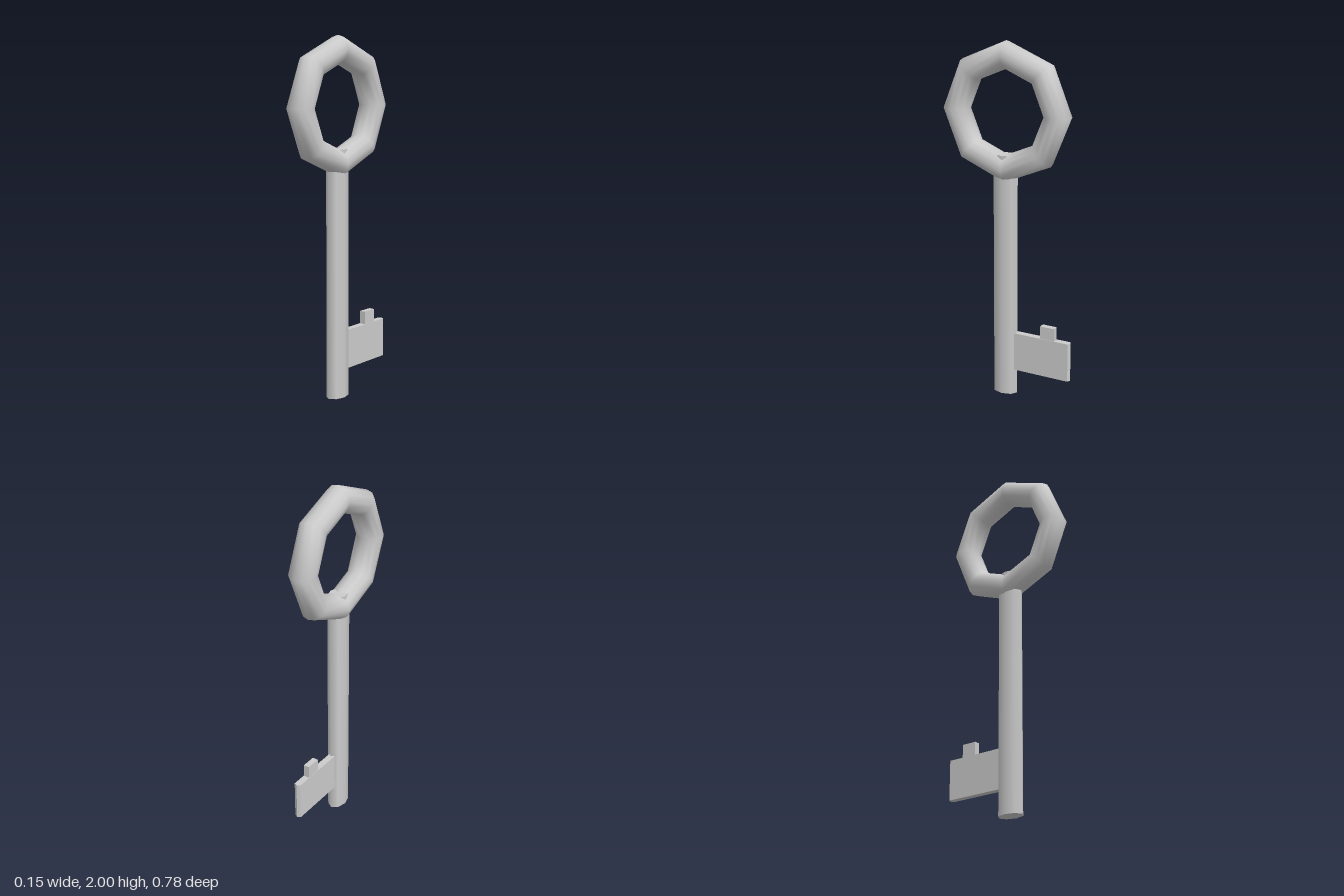
import * as THREE from 'three';

const material = new THREE.MeshStandardMaterial({ color: 0xcccccc });

function part(name, geometry) {
  const mesh = new THREE.Mesh(geometry, material);
  mesh.name = name;
  return mesh;
}

export function createModel() {
  const key = new THREE.Group();
  key.name = 'key';

  // Eight-sided ring handle, standing in the YZ plane
  const bow = part('bow', new THREE.TorusGeometry(0.306, 0.075, 12, 8).rotateY(Math.PI / 2));
  bow.position.set(0, 1.619, 0.01);
  key.add(bow);

  // Oval shaft running up into the ring
  const shaftHeight = 1.39;
  const shaftGeometry = new THREE.CylinderGeometry(0.075, 0.075, shaftHeight, 8);
  shaftGeometry.scale(0.05 / 0.075, 1, 1);
  const shaft = part('shaft', shaftGeometry);
  shaft.position.set(0, shaftHeight / 2, 0.015);
  key.add(shaft);

  // Flat bit with a shallow ridge along its outer end; plan drawn as (x, -z)
  const plan = new THREE.Shape([
    [-0.019, -0.02], [0.019, -0.02], [0.019, 0.384], [0, 0.393], [-0.019, 0.384],
  ].map(([x, y]) => new THREE.Vector2(x, y)));
  const bitGeometry = new THREE.ExtrudeGeometry(plan, { depth: 0.222, bevelEnabled: false });
  bitGeometry.rotateX(-Math.PI / 2);
  const bit = part('bit', bitGeometry);
  bit.position.y = 0.148;
  key.add(bit);

  // Small tooth on top of the bit
  const tooth = part('tooth', new THREE.BoxGeometry(0.034, 0.09, 0.086));
  tooth.position.set(0, 0.398, -0.255);
  key.add(tooth);

  return key;
}
